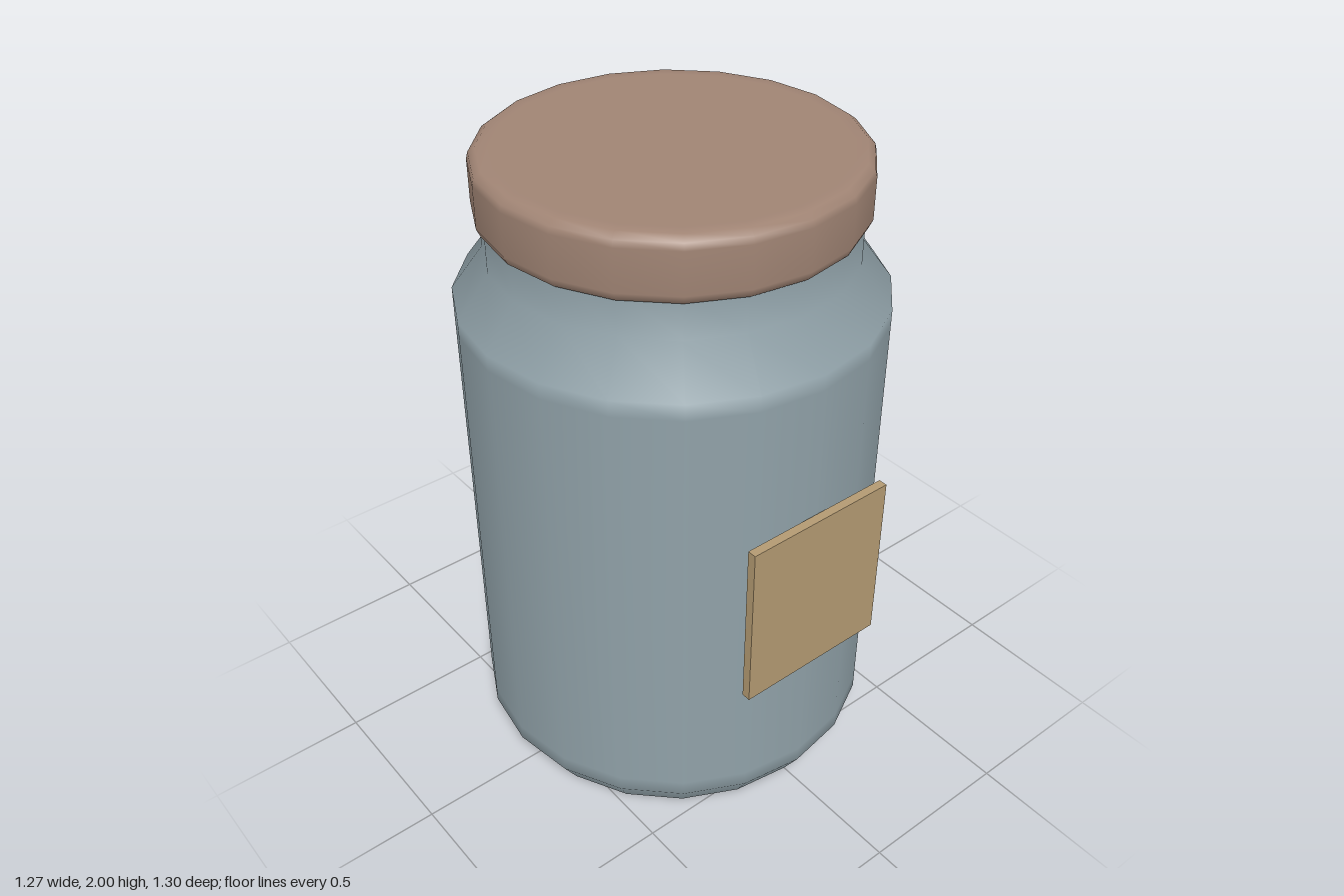
import * as THREE from 'three';

const SIDES = 20;
const CENTRE_Z = -0.016;

export function createModel() {
  const group = new THREE.Group();
  const material = (name, color) => {
    const m = new THREE.MeshStandardMaterial({ color });
    m.name = name;
    return m;
  };
  const glass = material('blue grey glass', 0x90a1a8);
  const wood = material('brown lid', 0xa08474);
  const paper = material('tan label', 0xb39a72);

  const add = (name, geometry, mat, y, z) => {
    const mesh = new THREE.Mesh(geometry, mat);
    mesh.name = name;
    mesh.position.set(0, y, z);
    group.add(mesh);
    return mesh;
  };
  // Profiles run from bottom to top as [radius, height]
  const lathe = (points) =>
    new THREE.LatheGeometry(points.map(([r, y]) => new THREE.Vector2(r, y)), SIDES);

  // Jar wall with chamfered foot, sloping shoulder and neck
  add('jarBody', lathe([
    [0.58, 0], [0.636, 0.09], [0.636, 0.14], [0.636, 1.52],
    [0.636, 1.57], [0.54, 1.70], [0.54, 1.84],
  ]), glass, 0, CENTRE_Z);

  // Flat base
  const base = new THREE.CircleGeometry(0.58, SIDES);
  base.rotateZ(Math.PI / 2);
  base.rotateX(Math.PI / 2);
  add('jarBase', base, glass, 0, CENTRE_Z);

  // Lid with softened rims
  add('lid', lathe([
    [0, 1.812], [0.535, 1.812], [0.548, 1.814], [0.56, 1.84],
    [0.56, 1.965], [0.555, 1.985], [0.535, 2], [0.5, 2], [0, 2],
  ]), wood, 0, CENTRE_Z);

  // Front label plate
  add('label', new THREE.BoxGeometry(0.505, 0.55, 0.028), paper, 0.83, 0.636);

  return group;
}
